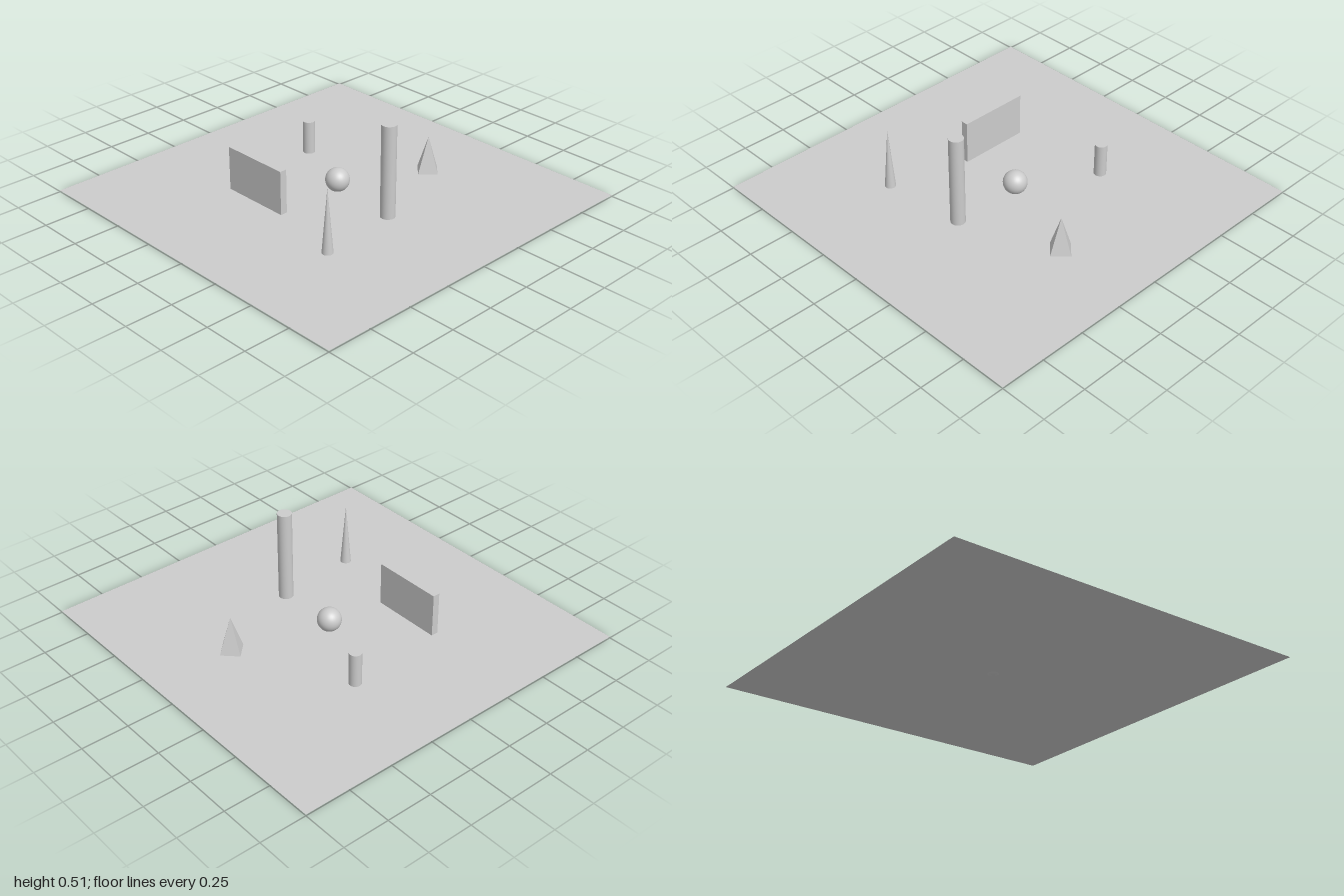
import * as THREE from 'three';

const GROUND = 0.007;

export function createModel() {
  const group = new THREE.Group();
  const grey = (options = {}) => new THREE.MeshStandardMaterial({ color: 0xcccccc, ...options });

  function add(name, geometry, x, y, z, material = grey()) {
    const mesh = new THREE.Mesh(geometry, material);
    mesh.name = name;
    mesh.position.set(x, y, z);
    group.add(mesh);
    return mesh;
  }

  // Places a part of the given height so its base rests on the ground
  const stand = (name, geometry, height, x, z, material) =>
    add(name, geometry, x, GROUND + height / 2, z, material);

  // Flat square ground
  const ground = new THREE.PlaneGeometry(2, 2).rotateX(-Math.PI / 2);
  add('ground', ground, 0, GROUND, 0, grey({ side: THREE.DoubleSide }));

  // Ball, dipping very slightly into the ground
  add('ball', new THREE.SphereGeometry(0.064, 32, 24), -0.02, 0.064, -0.037);

  // Round columns
  stand('tallColumn', new THREE.CylinderGeometry(0.039, 0.039, 0.505, 32), 0.505, 0.359, -0.016);
  stand('shortColumn', new THREE.CylinderGeometry(0.033, 0.033, 0.184, 32), 0.184, -0.447, -0.235);

  // Upright slab
  stand('wall', new THREE.BoxGeometry(0.39, 0.24, 0.039), 0.24, -0.211, 0.338);

  // Four-sided pyramid with its corners on the axes
  stand('pyramid', new THREE.ConeGeometry(0.073, 0.196, 4), 0.196, 0.155, -0.53, grey({ flatShading: true }));

  // Slender round spike
  stand('spike', new THREE.ConeGeometry(0.029, 0.345, 32), 0.345, 0.41, 0.445);

  return group;
}
